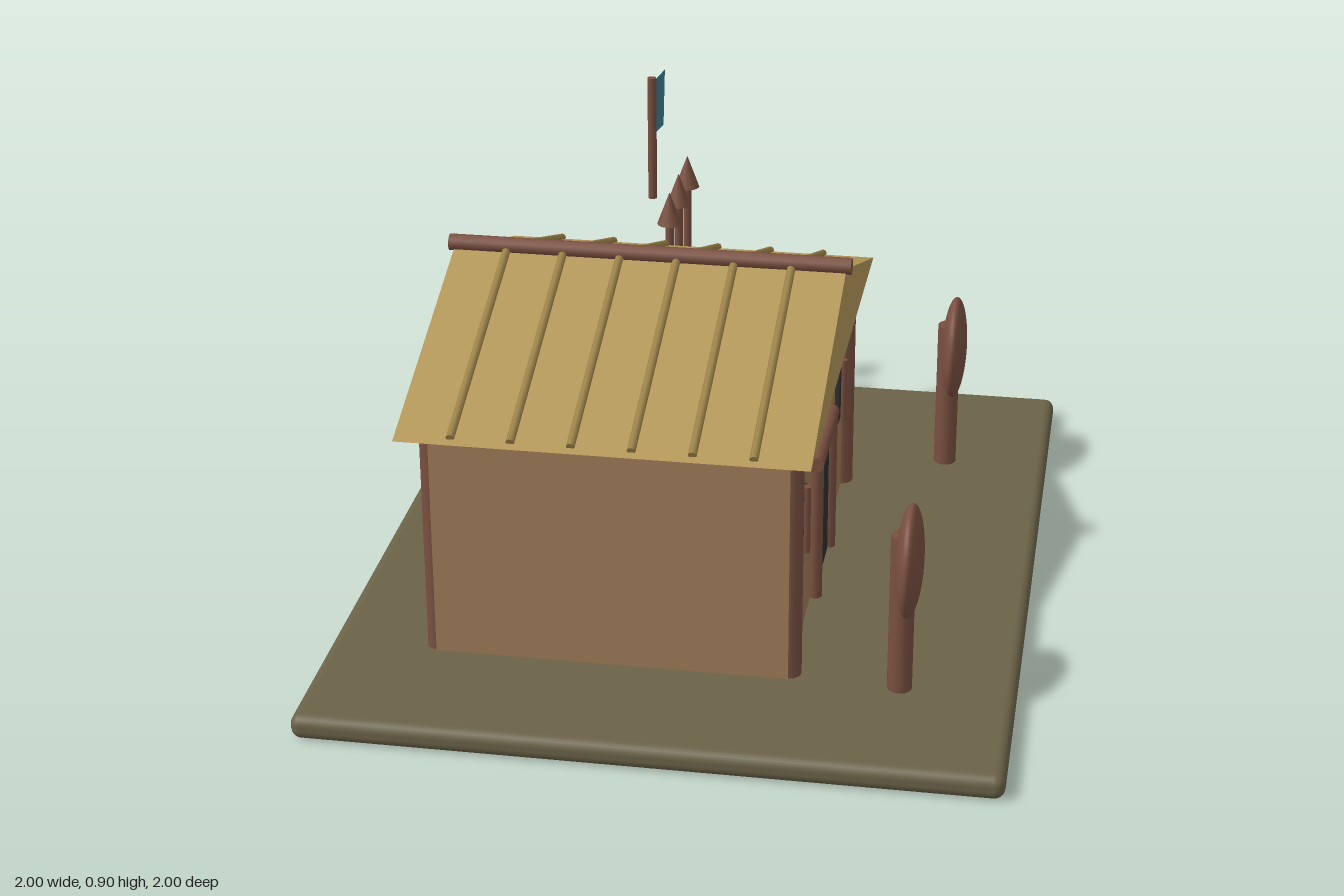
import * as THREE from 'three';
import { RoundedBoxGeometry } from 'three/addons/geometries/RoundedBoxGeometry.js';

function material(name, color, options = {}) {
  const m = new THREE.MeshStandardMaterial({ color, ...options });
  m.name = name;
  return m;
}

export function createModel() {
  const earth = material('earth', 0x6b6248);
  const clay = material('clay', 0xa07c58);
  const thatch = material('thatch', 0xb5985a, { flatShading: true });
  const reed = material('reed', 0x9c8249);
  const wood = material('wood', 0x7a5040);
  const dark = material('dark opening', 0x303030);
  const cloth = material('cloth', 0x3b7f93, { side: THREE.DoubleSide });

  const model = new THREE.Group();
  model.name = 'hut';
  // The whole plot is turned 45 degrees; inside it the door faces +z
  const plot = new THREE.Group();
  plot.name = 'plot';
  plot.rotation.y = Math.PI / 4;
  model.add(plot);
  const house = new THREE.Group();
  house.name = 'house';
  house.position.set(-0.085, 0, -0.106);
  plot.add(house);

  function add(parent, name, geometry, mat, x = 0, y = 0, z = 0) {
    const mesh = new THREE.Mesh(geometry, mat);
    mesh.name = name;
    mesh.position.set(x, y, z);
    parent.add(mesh);
    return mesh;
  }

  // Round pole between two points
  function pole(parent, name, from, to, radius, mat = wood, sides = 12) {
    const a = new THREE.Vector3(...from), b = new THREE.Vector3(...to);
    const dir = b.clone().sub(a);
    const mesh = add(parent, name, new THREE.CylinderGeometry(radius, radius, dir.length(), sides), mat);
    mesh.position.copy(a).add(b).multiplyScalar(0.5);
    mesh.quaternion.setFromUnitVectors(new THREE.Vector3(0, 1, 0), dir.normalize());
    return mesh;
  }

  // Ground slab
  add(plot, 'ground', new RoundedBoxGeometry(1.572, 0.048, 1.28, 3, 0.02), earth, 0, 0.024, 0);

  // Walls and corner posts
  add(house, 'walls', new THREE.BoxGeometry(0.85, 0.455, 0.66), clay, 0, 0.2725, 0);
  for (const x of [-0.4, 0.4]) {
    for (const z of [-0.328, 0.328]) {
      pole(house, 'cornerPost', [x, 0.045, z], [x, 0.52, z], 0.024);
    }
  }

  // Gabled thatch roof
  const gable = new THREE.Shape();
  gable.moveTo(-0.495, 0.51);
  gable.lineTo(0.495, 0.51);
  gable.lineTo(0, 0.688);
  gable.closePath();
  const roof = new THREE.ExtrudeGeometry(gable, { depth: 0.75, bevelEnabled: false });
  add(house, 'roof', roof, thatch, 0, 0, -0.375);
  pole(house, 'ridgePole', [0, 0.694, -0.385], [0, 0.694, 0.385], 0.016);
  for (let i = 0; i < 6; i++) {
    const z = (i - 2.5) * 0.109;
    for (const side of [-1, 1]) {
      pole(house, 'roofReed', [side * 0.482, 0.518, z], [side * 0.005, 0.69, z], 0.008, reed, 8);
    }
  }

  // Doorway with a log frame
  add(house, 'door', new THREE.BoxGeometry(0.19, 0.275, 0.008), dark, 0, 0.185, 0.334);
  for (const x of [-0.105, 0.105]) {
    pole(house, 'doorPost', [x, 0.045, 0.338], [x, 0.33, 0.338], 0.014);
  }
  pole(house, 'lintel', [-0.12, 0.335, 0.338], [0.12, 0.335, 0.338], 0.016);

  // Barred windows
  for (const x of [-0.284, 0.284]) {
    add(house, 'window', new THREE.BoxGeometry(0.08, 0.11, 0.009), dark, x, 0.305, 0.334);
    pole(house, 'windowBar', [x, 0.238, 0.342], [x, 0.373, 0.342], 0.008);
  }

  // Flag on a short pole
  pole(plot, 'flagpole', [0.33, 0.645, -0.174], [0.33, 0.9, -0.174], 0.009);
  const flag = new THREE.Shape();
  flag.moveTo(0, 0.888);
  flag.lineTo(0.01, 0.775);
  flag.lineTo(0.125, 0.756);
  flag.lineTo(0.145, 0.868);
  flag.closePath();
  add(plot, 'flag', new THREE.ShapeGeometry(flag), cloth, 0.333, 0, -0.174);

  // Rack of spears
  pole(plot, 'spearRail', [0.42, 0.285, -0.178], [0.735, 0.285, -0.178], 0.013);
  for (const x of [0.472, 0.582, 0.692]) {
    pole(plot, 'spearShaft', [x, 0.05, -0.165], [x, 0.54, -0.165], 0.009);
    add(plot, 'spearTip', new THREE.ConeGeometry(0.026, 0.07, 12), wood, x, 0.568, -0.165);
  }

  // Oval shields leaning on stakes
  for (const x of [-0.506, 0.436]) {
    pole(plot, 'shieldStake', [x, 0.045, 0.428], [x, 0.36, 0.428], 0.023);
    const shield = add(plot, 'shield', new THREE.SphereGeometry(1, 32, 20), wood, x, 0.31, 0.44);
    shield.scale.set(0.095, 0.106, 0.025);
  }

  return model;
}
